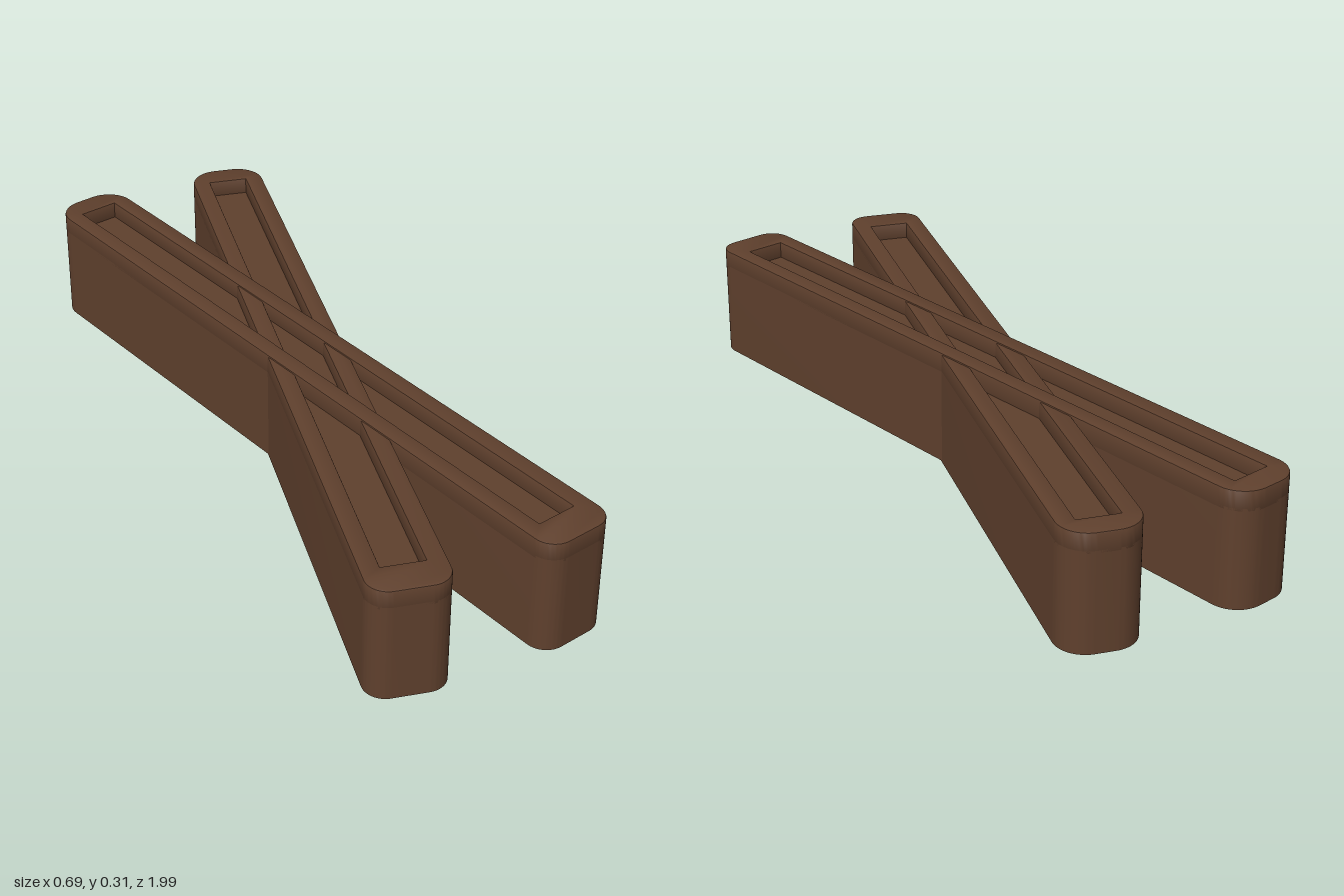
import * as THREE from 'three';
import { toCreasedNormals } from 'three/addons/utils/BufferGeometryUtils.js';

const HALF_WIDTH = 0.1;
const HEIGHT = 0.304;
const GROOVE_DEPTH = 0.045;
const BEVEL = 0.004;

// Long bar outline: back end (+y) rounder than the front end (-y)
function barOutline() {
  const w = HALF_WIDTH, l = 1, back = 0.075, front = 0.055;
  const s = new THREE.Shape();
  s.moveTo(-w, -l + front);
  s.absarc(-w + front, -l + front, front, Math.PI, Math.PI * 1.5, false);
  s.absarc(w - front, -l + front, front, Math.PI * 1.5, Math.PI * 2, false);
  s.absarc(w - back, l - back, back, 0, Math.PI / 2, false);
  s.absarc(-w + back, l - back, back, Math.PI / 2, Math.PI, false);
  s.closePath();
  return s;
}

// Rectangular groove opening
function grooveOutline() {
  const w = 0.0525, back = 0.93, front = -0.91;
  const p = new THREE.Path();
  p.moveTo(-w, front);
  p.lineTo(-w, back);
  p.lineTo(w, back);
  p.lineTo(w, front);
  p.closePath();
  return p;
}

// Extrude upward from height y
function extrudeUp(shape, y, options) {
  const geometry = new THREE.ExtrudeGeometry(shape, { curveSegments: 8, ...options });
  geometry.rotateX(-Math.PI / 2);
  geometry.translate(0, y, 0);
  return toCreasedNormals(geometry, 0.6);
}

function createBar(name, angle, y, material) {
  const bar = new THREE.Group();
  bar.name = name;

  // Solid body up to the groove floor
  const floor = HEIGHT - GROOVE_DEPTH;
  const body = new THREE.Mesh(
    extrudeUp(barOutline(), 0, { depth: floor, bevelEnabled: false }), material);
  body.name = 'barBody';

  // Raised rim with softened top edges, its foot sunk into the body
  const rimShape = barOutline();
  rimShape.holes.push(grooveOutline());
  const foot = floor - 0.01;
  const rim = new THREE.Mesh(extrudeUp(rimShape, foot + BEVEL, {
    depth: HEIGHT - foot - 2 * BEVEL,
    bevelEnabled: true, bevelThickness: BEVEL, bevelSize: BEVEL,
    bevelOffset: -BEVEL, bevelSegments: 2,
  }), material);
  rim.name = 'barRim';

  bar.add(body, rim);
  bar.rotation.y = THREE.MathUtils.degToRad(angle);
  bar.position.y = y;
  return bar;
}

export function createModel() {
  const model = new THREE.Group();
  model.name = 'crossedBars';
  const brown = new THREE.MeshStandardMaterial({ color: 0x5f402d });
  brown.name = 'brown';

  // Two bars crossing at a narrow angle, one slightly higher
  model.add(createBar('wideAngleBar', 15.2, 0.004, brown));
  model.add(createBar('narrowAngleBar', -9.6, 0, brown));
  return model;
}
